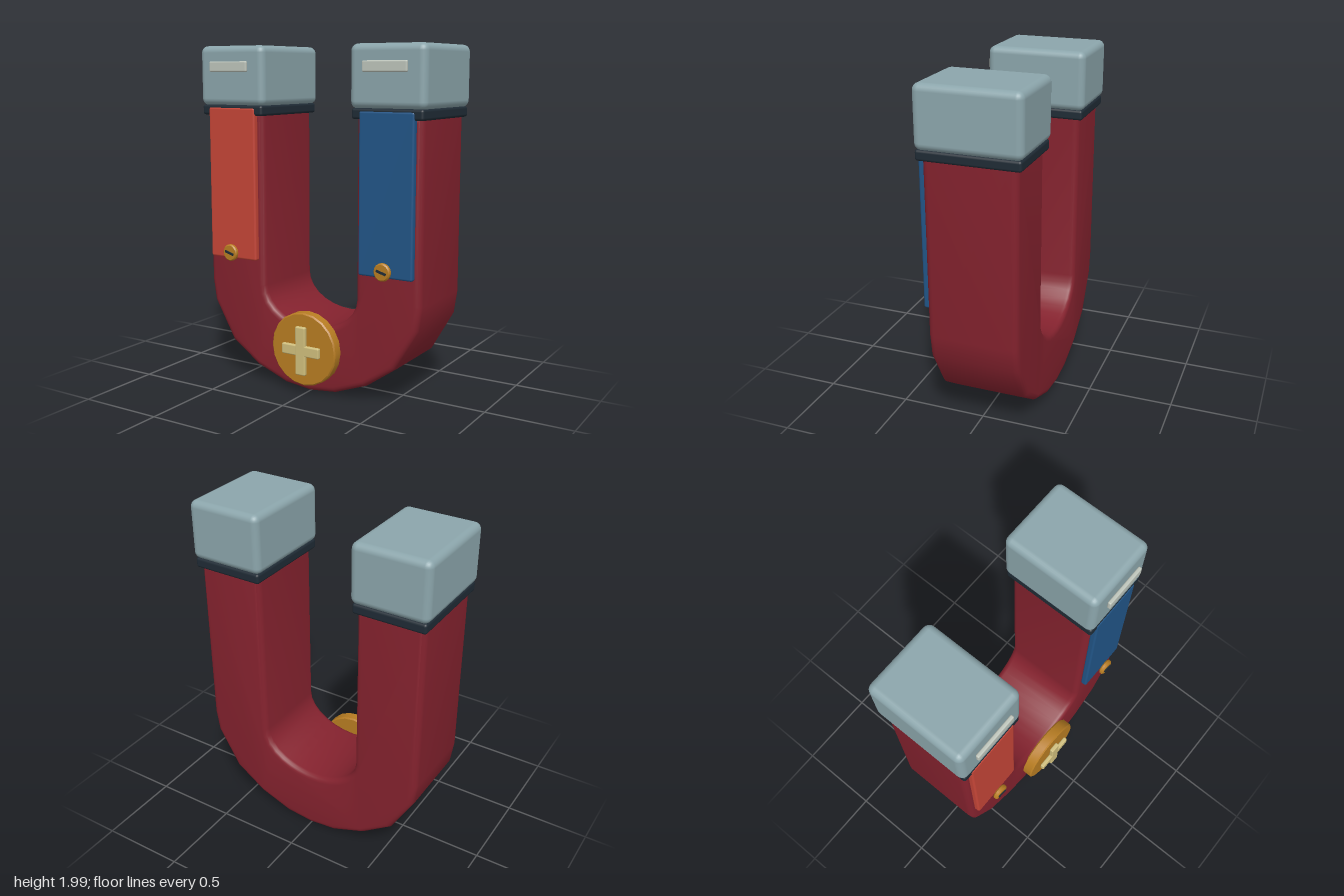
import * as THREE from 'three';
import { toCreasedNormals } from 'three/addons/utils/BufferGeometryUtils.js';
import { RoundedBoxGeometry } from 'three/addons/geometries/RoundedBoxGeometry.js';

const material = (name, color) => {
  const m = new THREE.MeshStandardMaterial({ color });
  m.name = name;
  return m;
};

export function createModel() {
  const model = new THREE.Group();
  model.name = 'horseshoeMagnet';

  const crimson = material('crimson', 0x84222e);
  const steel = material('steel', 0x8ba5ab);
  const rubber = material('dark rubber', 0x1f2b35);
  const redPaint = material('red paint', 0xc54537);
  const bluePaint = material('blue paint', 0x215587);
  const brass = material('brass', 0xb87d22);
  const paleBrass = material('pale brass', 0xd0bf7d);
  const paleMetal = material('pale metal', 0xbec5bb);

  const add = (parent, name, geometry, mat, x, y, z) => {
    const mesh = new THREE.Mesh(geometry, mat);
    mesh.name = name;
    mesh.position.set(x, y, z);
    parent.add(mesh);
    return mesh;
  };
  const box = (w, h, d, r, segments = 3) => new RoundedBoxGeometry(w, h, d, segments, r);
  const disc = (r, depth, sides) => {
    // Chamfered disc facing +z
    const b = Math.min(0.008, depth / 4);
    const profile = [[0, -depth / 2], [r - b, -depth / 2], [r, -depth / 2 + b],
      [r, depth / 2 - b], [r - b, depth / 2], [0, depth / 2]];
    const g = new THREE.LatheGeometry(profile.map(p => new THREE.Vector2(...p)), sides);
    return toCreasedNormals(g.rotateX(Math.PI / 2), 0.5);
  };

  // U-shaped body: outer bend as a few facets, inner bend as a half ellipse
  const bend = [[0.71, 0.6], [0.69, 0.465], [0.555, 0.23], [0.37, 0.1], [0.17, 0.025]];
  const outline = [[-0.71, 1.62], ...bend.map(([x, y]) => [-x, y]), [0, 0.007],
    ...[...bend].reverse(), [0.71, 1.62], [0.31, 1.62]];
  for (let i = 0; i <= 14; i++) {
    const a = (i / 14) * Math.PI;
    outline.push([0.31 * Math.cos(a), 0.6 - 0.21 * Math.sin(a)]);
  }
  outline.push([-0.31, 1.62]);
  const bevel = 0.035;
  const body = new THREE.ExtrudeGeometry(
    new THREE.Shape(outline.map(p => new THREE.Vector2(...p))),
    { depth: 0.52 - 2 * bevel, bevelThickness: bevel, bevelSize: bevel, bevelOffset: -bevel, bevelSegments: 4 });
  add(model, 'body', toCreasedNormals(body, 0.65), crimson, 0, 0, -0.29 + bevel);

  // Matching fittings on both legs
  for (const side of [-1, 1]) {
    const leg = new THREE.Group();
    leg.name = side < 0 ? 'rightPole' : 'leftPole';
    leg.position.x = side * 0.51;
    model.add(leg);
    add(leg, 'poleCap', box(0.455, 0.345, 0.59, 0.04), steel, 0, 1.8275, -0.03);
    add(leg, 'collar', box(0.43, 0.06, 0.575, 0.015, 2), rubber, 0, 1.63, -0.0275);
    add(leg, 'capMark', box(0.265, 0.06, 0.022, 0.008, 2), paleMetal, 0, 1.88, 0.284);
    add(leg, 'facePlate', box(0.33, 0.895, 0.04, 0.012, 2),
      side < 0 ? redPaint : bluePaint, 0, 1.1975, 0.245);
    add(leg, 'screw', disc(0.05, 0.028, 16), brass, 0, 0.79, 0.289);
    const slot = add(leg, 'screwSlot', new THREE.BoxGeometry(0.06, 0.013, 0.009), rubber, 0, 0.79, 0.305);
    slot.rotation.z = -0.28;
  }

  // Medallion with raised cross
  add(model, 'medallion', disc(0.216, 0.07, 20), brass, 0, 0.275, 0.256);
  add(model, 'crossBar', box(0.25, 0.062, 0.026, 0.008, 2), paleBrass, 0, 0.275, 0.312);
  add(model, 'crossPost', box(0.066, 0.285, 0.027, 0.008, 2), paleBrass, 0, 0.273, 0.312);

  return model;
}
